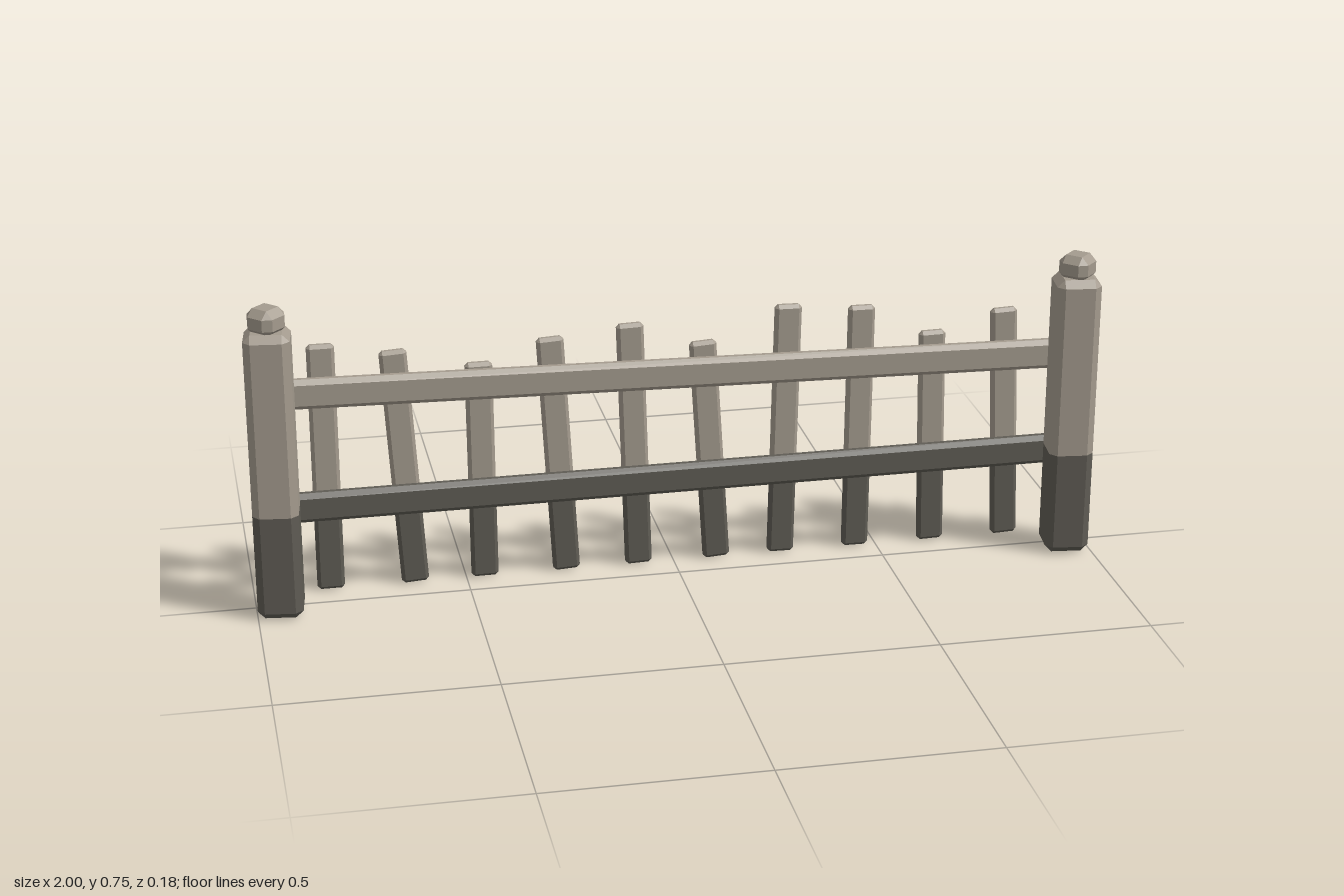
import * as THREE from 'three';
import { ConvexGeometry } from 'three/addons/geometries/ConvexGeometry.js';

const mat = (name, color) => {
  const m = new THREE.MeshStandardMaterial({ color, flatShading: true });
  m.name = name;
  return m;
};

// Upright beam with chamfered long edges; each end is chamfered or cut flat
function beam(w, d, y0, y1, b, bevelBottom = true, bevelTop = true) {
  const pts = [];
  const X = w / 2, Z = d / 2;
  for (const sx of [-1, 1]) for (const sz of [-1, 1]) {
    const ring = (y) => pts.push(
      new THREE.Vector3(sx * X, y, sz * (Z - b)),
      new THREE.Vector3(sx * (X - b), y, sz * Z));
    const end = (y) => pts.push(new THREE.Vector3(sx * (X - b), y, sz * (Z - b)));
    ring(bevelBottom ? y0 + b : y0);
    ring(bevelTop ? y1 - b : y1);
    if (bevelBottom) end(y0);
    if (bevelTop) end(y1);
  }
  return new ConvexGeometry(pts);
}

export function createModel() {
  const root = new THREE.Group();
  root.name = 'fence';
  const light = mat('weathered wood', 0xa49b8e);
  const dark = mat('damp dark wood', 0x5f5c54);

  const add = (parent, name, geometry, material) => {
    const mesh = new THREE.Mesh(geometry, material);
    mesh.name = name;
    parent.add(mesh);
    return mesh;
  };

  // Timber with a dark lower part and a pale upper part
  const twoTone = (name, w, d, h, split, b) => {
    const g = new THREE.Group();
    g.name = name;
    add(g, name + 'Base', beam(w, d, 0, split, b, true, false), dark);
    add(g, name + 'Upper', beam(w, d, split, h, b, false, true), light);
    root.add(g);
    return g;
  };

  // End posts, each slightly twisted, with a diagonal faceted cap
  for (const side of [-1, 1]) {
    const post = twoTone(side < 0 ? 'rightPost' : 'leftPost', 0.105, 0.105, 0.692, 0.255, 0.017);
    post.position.set(side * 0.944, 0, 0.032);
    post.rotation.y = -0.12;
    const cap = add(root, 'postCap', beam(0.075, 0.075, 0.683, 0.745, 0.017), light);
    cap.position.set(side * 0.944, 0, 0.032);
    cap.rotation.y = Math.PI / 4;
  }

  // Horizontal rails behind the posts
  const rails = [
    ['upperRail', 0.492, -0.018, light],
    ['lowerRail', 0.229, 0.002, dark],
  ];
  for (const [name, y, tilt, material] of rails) {
    const rail = add(root, name, beam(0.072, 0.033, -0.975, 0.975, 0.011), material);
    rail.position.set(0, y, -0.036);
    rail.rotation.z = -Math.PI / 2 + tilt;
  }

  // Uneven pickets: [height, sideways lean from foot to top]
  const pickets = [
    [0.61, 0], [0.585, -0.035], [0.54, -0.003], [0.59, -0.032], [0.61, -0.018],
    [0.555, -0.035], [0.63, 0.013], [0.615, 0.005], [0.54, -0.01], [0.585, -0.022],
  ];
  pickets.forEach(([h, lean], i) => {
    const picket = twoTone('picket' + (i + 1), 0.064, 0.024, h, 0.215, 0.008);
    picket.position.set(-0.82 + i * 0.1815 - lean / 2, 0, -0.075);
    picket.rotation.z = -Math.atan2(lean, h);
  });

  return root;
}
